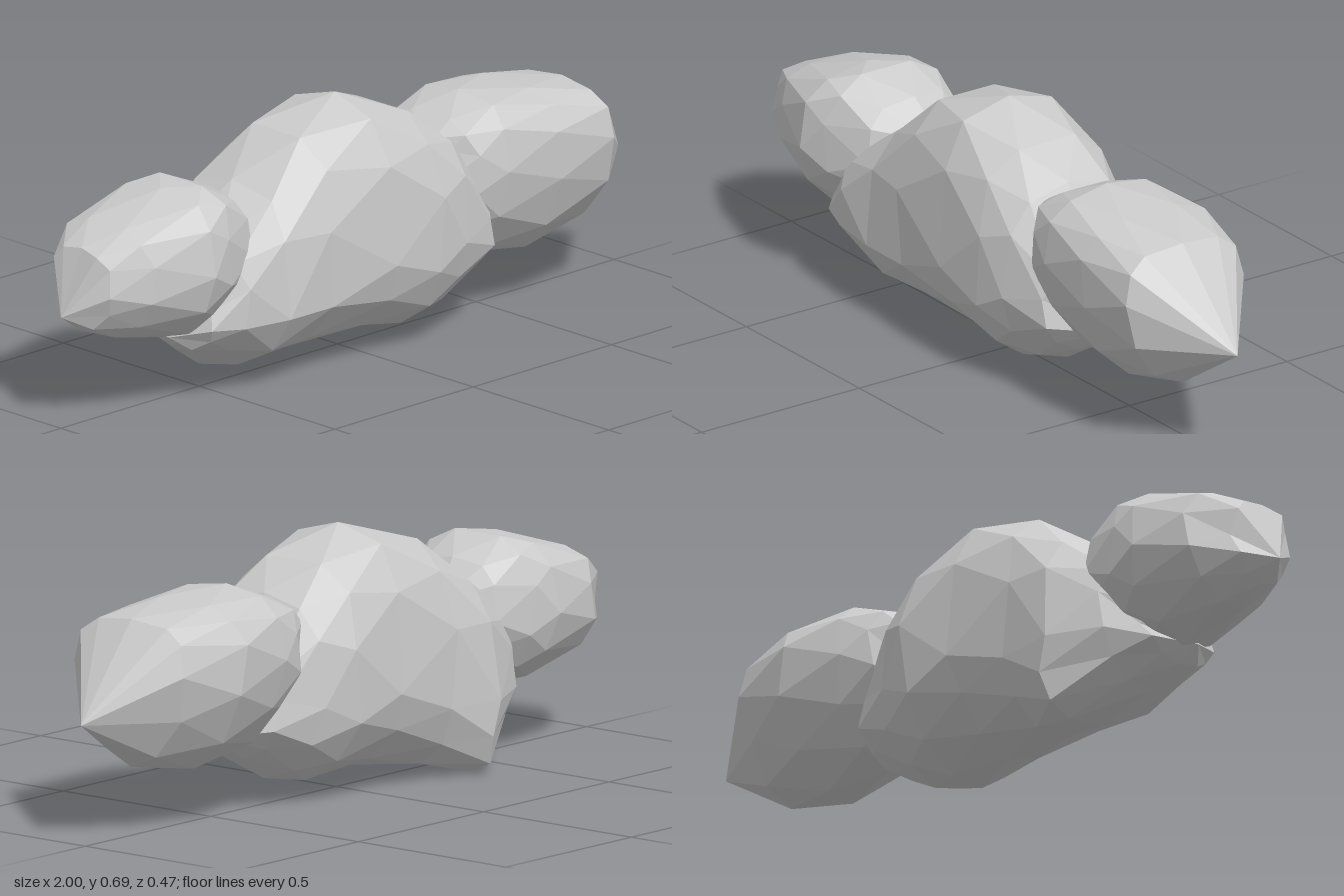
import * as THREE from 'three';

const SIDES = 12;
const material = new THREE.MeshStandardMaterial({ color: 0xcccccc, flatShading: true });

// Faceted puff lofted along x between two tips.
// section: [x, bottom y, widest y, top y, back z, front z, z shift of the underside]
function puff(name, startTip, sections, endTip) {
  const pos = [...startTip];
  const index = [];
  sections.forEach(([x, yb, yw, yt, zb, zf, zLow = 0], r) => {
    const stagger = r % 2 ? 0.5 : 0;
    for (let i = 0; i < SIDES; i++) {
      const a = ((i + stagger) / SIDES) * Math.PI * 2;
      let c = Math.cos(a), s = Math.sin(a);
      // boxy shoulders above, tapered underside
      const power = s > 0 ? 0.68 : 1.08;
      c = Math.sign(c) * Math.abs(c) ** power;
      s = Math.sign(s) * Math.abs(s) ** power;
      const y = yw + s * (s > 0 ? yt - yw : yw - yb);
      const z = (zb + zf) / 2 + c * (zf - zb) / 2 + (s < 0 ? zLow * s * s : 0);
      pos.push(x + 0.015 * Math.sin(i * 2.4 + r * 1.7) * Math.abs(c), y, z);
    }
  });
  pos.push(...endTip);
  const last = pos.length / 3 - 1;
  const at = (r, i) => 1 + r * SIDES + (i % SIDES);
  const end = sections.length - 1;
  for (let i = 0; i < SIDES; i++) {
    index.push(0, at(0, i), at(0, i + 1));
    index.push(last, at(end, i + 1), at(end, i));
    for (let r = 0; r < end; r++) {
      const a = at(r, i), b = at(r, i + 1), c = at(r + 1, i), d = at(r + 1, i + 1);
      // the diagonal follows the stagger of the rings
      if (r % 2) index.push(a, c, d, a, d, b);
      else index.push(a, c, b, b, c, d);
    }
  }
  const geometry = new THREE.BufferGeometry();
  geometry.setAttribute('position', new THREE.Float32BufferAttribute(pos, 3));
  geometry.setIndex(index);
  geometry.computeVertexNormals();
  const mesh = new THREE.Mesh(geometry, material);
  mesh.name = name;
  return mesh;
}

export function createModel() {
  const cloud = new THREE.Group();
  cloud.name = 'cloud';

  // Large middle puff with the drooping underside
  cloud.add(puff('middlePuff', [-0.66, 0.18, 0.05], [
    [-0.61, 0.135, 0.21, 0.29, -0.1, 0.16],
    [-0.52, 0.08, 0.24, 0.41, -0.17, 0.2, -0.04],
    [-0.37, 0.0, 0.2, 0.53, -0.235, 0.21, -0.12],
    [-0.22, 0.03, 0.25, 0.64, -0.22, 0.22, -0.05],
    [-0.02, 0.053, 0.27, 0.693, -0.215, 0.235],
    [0.15, 0.035, 0.27, 0.63, -0.215, 0.24, 0.02],
    [0.26, 0.06, 0.27, 0.55, -0.18, 0.225],
    [0.38, 0.13, 0.25, 0.37, -0.13, 0.19],
  ], [0.48, 0.2, 0.02]));

  // Pointed puff on the left
  cloud.add(puff('leftPuff', [0.25, 0.42, 0.02], [
    [0.27, 0.26, 0.42, 0.53, -0.12, 0.14],
    [0.32, 0.21, 0.42, 0.56, -0.155, 0.19],
    [0.42, 0.155, 0.42, 0.6, -0.18, 0.21],
    [0.6, 0.133, 0.43, 0.585, -0.205, 0.222, 0.02],
    [0.78, 0.17, 0.43, 0.56, -0.155, 0.217],
  ], [1, 0.315, 0.015]));

  // Smaller puff on the right
  cloud.add(puff('rightPuff', [-1, 0.3, 0], [
    [-0.93, 0.25, 0.36, 0.475, -0.1, 0.11],
    [-0.83, 0.21, 0.37, 0.52, -0.175, 0.165],
    [-0.65, 0.17, 0.38, 0.575, -0.2, 0.22],
    [-0.57, 0.18, 0.38, 0.585, -0.19, 0.2],
    [-0.46, 0.23, 0.38, 0.535, -0.16, 0.15],
  ], [-0.36, 0.43, -0.03]));

  return cloud;
}
